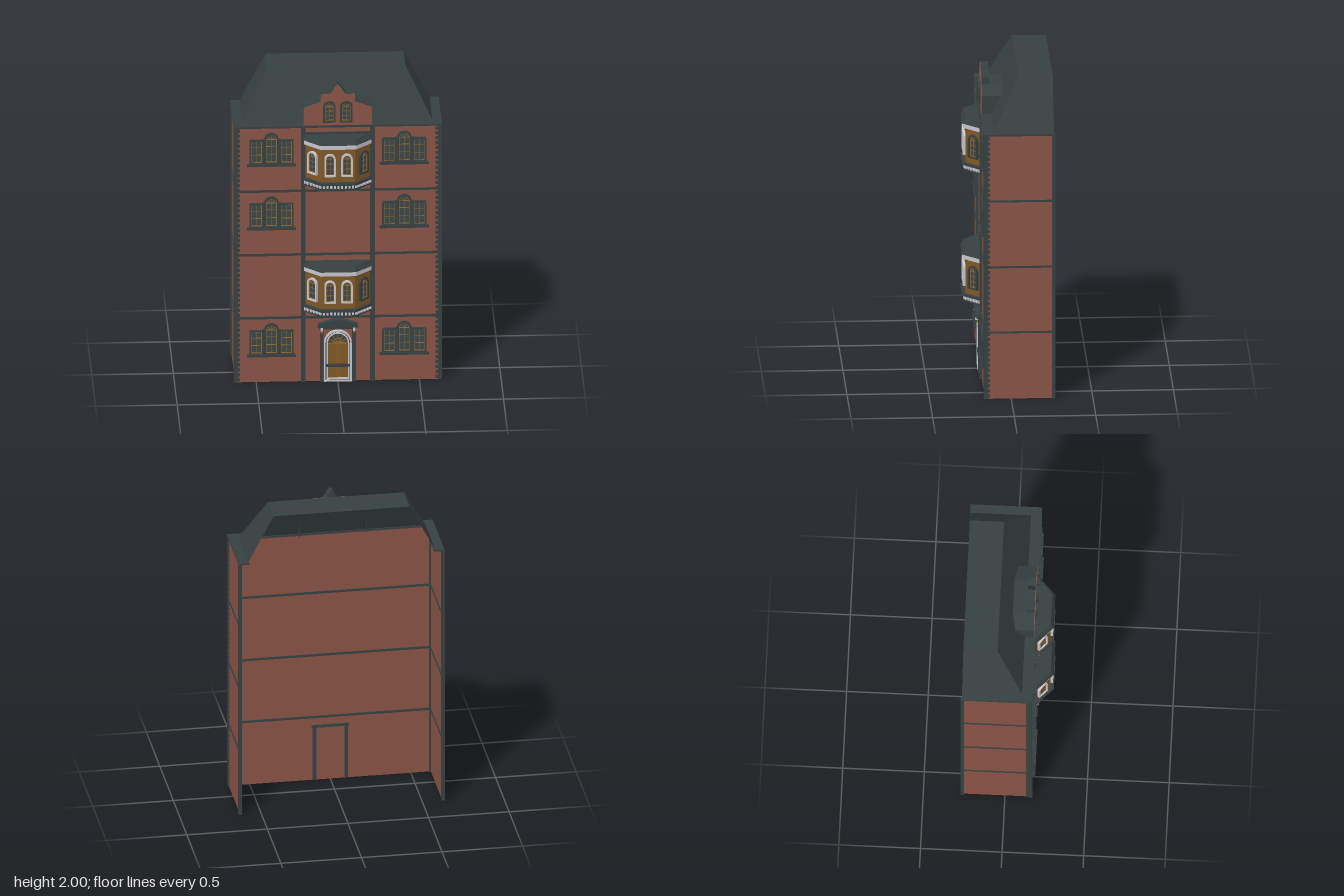
import * as THREE from 'three';

const mat = (name, color, side = THREE.FrontSide) => {
  const m = new THREE.MeshStandardMaterial({ color, side });
  m.name = name;
  return m;
};

export function createModel() {
  const brick = mat('brick', 0x8a5346);
  const slate = mat('slate', 0x374041);
  const roofSlate = mat('roof slate', 0x374041, THREE.DoubleSide);
  const wood = mat('wood', 0x7f5826);
  const gold = mat('gilt wood', 0x94652a);
  const stone = mat('pale stone', 0xc6c6cb);
  const glass = mat('glass', 0x3a474b);
  const root = new THREE.Group();
  root.name = 'townhouse';

  const FRONT = 0.16, BACK = -0.265, W = 0.63, H = 1.69;

  const add = (parent, name, geo, material) => {
    const m = new THREE.Mesh(geo, material);
    m.name = name;
    parent.add(m);
    return m;
  };
  const group = (parent, name, x = 0, y = 0, z = 0, ry = 0) => {
    const g = new THREE.Group();
    g.name = name;
    g.position.set(x, y, z);
    g.rotation.y = ry;
    parent.add(g);
    return g;
  };
  // box given by its limits
  const box = (parent, name, material, x0, x1, y0, y1, z0, z1) => {
    const m = add(parent, name, new THREE.BoxGeometry(x1 - x0, y1 - y0, z1 - z0), material);
    m.position.set((x0 + x1) / 2, (y0 + y1) / 2, (z0 + z1) / 2);
    return m;
  };
  const extrude = (shape, depth) =>
    new THREE.ExtrudeGeometry(shape, { depth, bevelEnabled: false, curveSegments: 10 });
  const polygon = (pts) => new THREE.Shape(pts.map(([x, y]) => new THREE.Vector2(x, y)));

  // opening outline: rectangle, or rectangle with a round head
  const opening = (w, h, round, inset = 0, Type = THREE.Shape) => {
    const r = w / 2 - inset, s = new Type();
    s.moveTo(-r, inset);
    s.lineTo(r, inset);
    if (round) {
      s.lineTo(r, h - w / 2);
      s.absarc(0, h - w / 2, r, 0, Math.PI, false);
    } else {
      s.lineTo(r, h - inset);
      s.lineTo(-r, h - inset);
    }
    s.closePath();
    return s;
  };
  const frame = (w, h, round, from, to, depth) => {
    const s = opening(w, h, round, from);
    s.holes.push(opening(w, h, round, to, THREE.Path));
    return extrude(s, depth);
  };

  // window with frame, gilt sash, glazing bars and fan spokes
  const makeWindow = (parent, name, x, y, z, w, h, round, frameMat, t, ry = 0) => {
    const g = group(parent, name, x, y, z, ry);
    add(g, 'windowFrame', frame(w, h, round, 0, t, 0.016), frameMat);
    add(g, 'sash', frame(w, h, round, t, t + 0.004, 0.008), gold);
    add(g, 'pane', extrude(opening(w, h, round, t), 0.004), glass);
    const top = round ? h - w / 2 : h - t, r = w / 2 - t;
    box(g, 'mullion', gold, -0.0015, 0.0015, t, top, 0.003, 0.007);
    for (const f of [0.36, 0.7]) {
      const by = t + (top - t) * f;
      box(g, 'glazingBar', gold, -r, r, by - 0.0015, by + 0.0015, 0.003, 0.007);
    }
    if (round) {
      box(g, 'transom', gold, -r, r, top - 0.002, top + 0.002, 0.003, 0.007);
      for (const a of [-0.8, 0, 0.8]) {
        const spoke = box(g, 'fanSpoke', gold, -0.0015, 0.0015, 0, r, 0.003, 0.007);
        spoke.position.set(-Math.sin(a) * r / 2, top + Math.cos(a) * r / 2, 0.005);
        spoke.rotation.z = a;
      }
    }
    return g;
  };

  // shell walls, open at the back
  const walls = group(root, 'walls');
  box(walls, 'frontWall', brick, -W, W, 0, H, FRONT - 0.006, FRONT);
  for (const s of [-1, 1]) {
    const side = box(walls, 'sideWall', brick, -0.003, 0.003, 0, H, BACK, FRONT);
    side.position.x = s * (W - 0.003);
  }

  // floor bands, inside and out
  const trim = group(root, 'trim');
  for (const y of [0.425, 0.843, 1.265]) {
    box(trim, 'frontBand', slate, -W - 0.003, W + 0.003, y - 0.007, y + 0.007, FRONT - 0.012, FRONT + 0.007);
    for (const s of [-1, 1]) {
      const b = box(trim, 'sideBand', slate, -0.008, 0.008, y - 0.006, y + 0.006, BACK, FRONT);
      b.position.x = s * (W - 0.003);
    }
  }
  // eaves ledge
  box(trim, 'frontLedge', slate, -0.638, 0.638, 1.683, 1.695, 0.095, 0.168);
  for (const s of [-1, 1]) {
    const ledge = box(trim, 'sideLedge', slate, -0.032, 0.032, 1.683, 1.695, BACK, 0.1);
    ledge.position.x = s * 0.606;
    // corner strips with toothed quoins
    const corner = box(trim, 'cornerStrip', slate, -0.0125, 0.0125, 0, H, 0.142, 0.168);
    corner.position.x = s * 0.6255;
    const rear = box(trim, 'rearStrip', slate, -0.011, 0.011, 0, H, -0.272, -0.25);
    rear.position.x = s * 0.629;
    for (let y = 0.008; y < H - 0.02; y += 0.033) {
      const q = box(trim, 'frontQuoin', slate, -0.01, 0.01, y, y + 0.02, FRONT - 0.002, 0.167);
      q.position.x = s * 0.608;
      const p = box(trim, 'sideQuoin', slate, -0.003, 0.003, y, y + 0.02, 0.13, 0.145);
      p.position.x = s * 0.633;
    }
    const pilaster = box(trim, 'pilaster', slate, -0.014, 0.014, 0, H, FRONT - 0.002, 0.174);
    pilaster.position.x = s * 0.212;
  }
  box(trim, 'upperBar', slate, -0.2, 0.2, 1.636, 1.652, FRONT - 0.002, 0.17);

  // three-part windows
  for (const s of [-1, 1]) {
    for (const y of [0.18, 1.022, 1.443]) {
      const g = group(root, 'tripleWindow', s * 0.407, y, FRONT);
      box(g, 'sill', slate, -0.15, 0.15, -0.008, 0.006, 0, 0.022);
      box(g, 'windowBacking', slate, -0.135, 0.135, 0.005, 0.155, -0.001, 0.003);
      makeWindow(g, 'centreWindow', 0, 0.004, 0, 0.088, 0.206, true, slate, 0.011);
      for (const k of [-1, 1]) {
        makeWindow(g, 'sideWindow', k * 0.092, 0.004, 0, 0.084, 0.162, false, slate, 0.009);
        box(g, 'hoodEnd', slate, k * 0.048 - 0.009, k * 0.048 + 0.009, 0.15, 0.17, 0, 0.014);
      }
    }
  }

  // canted bays
  const bayPrism = (back, front, z, y0, y1) => {
    const geo = extrude(polygon([[-back, -FRONT], [-front, -z], [front, -z], [back, -FRONT]]), y1 - y0);
    geo.rotateX(-Math.PI / 2);
    geo.translate(0, y0, 0);
    return geo;
  };
  for (const y of [0.465, 1.305]) {
    const bay = group(root, 'bayWindow', 0, y, 0);
    add(bay, 'bayFloor', bayPrism(0.215, 0.1, 0.265, 0, 0.01), slate);
    add(bay, 'dentilBacking', bayPrism(0.2, 0.095, 0.255, 0.01, 0.034), slate);
    add(bay, 'baySlab', bayPrism(0.225, 0.107, 0.275, 0.034, 0.05), slate);
    add(bay, 'bayWall', bayPrism(0.2, 0.1, 0.254, 0.05, 0.275), wood);
    add(bay, 'bayCornice', bayPrism(0.222, 0.106, 0.271, 0.272, 0.3), stone);
    // hipped bay roof, top edge drawn in
    const roof = bayPrism(0.228, 0.109, 0.275, 0.3, 0.335);
    const p = roof.attributes.position;
    for (let i = 0; i < p.count; i++) {
      if (p.getY(i) > 0.32) {
        p.setX(i, p.getX(i) * 0.91);
        p.setZ(i, FRONT + (p.getZ(i) - FRONT) * 0.84);
      }
    }
    roof.computeVertexNormals();
    add(bay, 'bayRoof', roof, slate);
    // dentils along the three sides
    const path = [[-0.21, 0.165], [-0.1, 0.262], [0.1, 0.262], [0.21, 0.165]];
    for (let e = 0; e < 3; e++) {
      const [ax, az] = path[e], [bx, bz] = path[e + 1], n = e === 1 ? 9 : 6;
      for (let i = 0; i < n; i++) {
        const t = (i + 0.5) / n;
        const d = box(bay, 'dentil', stone, -0.006, 0.006, 0.011, 0.033, -0.007, 0.007);
        d.position.x = ax + (bx - ax) * t;
        d.position.z = az + (bz - az) * t - 0.003;
        d.rotation.y = -Math.atan2(bz - az, bx - ax);
      }
    }
    for (const s of [-1, 1]) {
      makeWindow(bay, 'bayFrontWindow', s * 0.052, 0.09, 0.253, 0.07, 0.15, true, stone, 0.011);
      makeWindow(bay, 'bayCantedWindow', s * 0.152, 0.09, 0.2045, 0.075, 0.15, true,
        s < 0 ? stone : slate, 0.011, s * 0.76);
    }
  }

  // entrance
  const door = group(root, 'entrance', 0, 0, FRONT);
  add(door, 'doorLeaf', extrude(opening(0.13, 0.315, true), 0.005), wood);
  add(door, 'doorArch', frame(0.17, 0.34, true, 0, 0.01, 0.016), stone);
  add(door, 'doorArchGroove', frame(0.17, 0.34, true, 0.01, 0.015, 0.008), slate);
  add(door, 'doorArchInner', frame(0.17, 0.34, true, 0.015, 0.024, 0.013), stone);
  const fan = new THREE.Shape();
  fan.absarc(0, 0.255, 0.058, 0, Math.PI, false);
  add(door, 'fanlight', extrude(fan, 0.006), glass);
  for (const a of [-1.2, -0.6, 0, 0.6, 1.2]) {
    const spoke = box(door, 'fanlightSpoke', gold, -0.002, 0.002, 0, 0.058, 0.005, 0.01);
    spoke.position.set(-Math.sin(a) * 0.029, 0.255 + Math.cos(a) * 0.029, 0.0075);
    spoke.rotation.z = a;
  }
  add(door, 'fanlightHub', new THREE.TorusGeometry(0.028, 0.003, 4, 10, Math.PI), gold).position.set(0, 0.255, 0.007);
  box(door, 'doorTransom', gold, -0.06, 0.06, 0.248, 0.257, 0.004, 0.011);
  box(door, 'doorSplit', gold, -0.002, 0.002, 0, 0.25, 0.004, 0.008);
  box(door, 'doorBar', slate, -0.072, 0.072, 0.097, 0.115, 0.004, 0.016);
  for (const s of [-1, 1]) {
    const post = box(door, 'doorPilaster', slate, -0.011, 0.011, 0, 0.355, -0.012, 0.016);
    post.position.x = s * 0.099;
    const bracket = box(door, 'bracket', stone, -0.008, 0.008, 0.342, 0.364, 0.01, 0.034);
    bracket.position.x = s * 0.1;
    box(door, 'bracketTip', gold, s * 0.1 - 0.005, s * 0.1 + 0.005, 0.325, 0.343, 0.012, 0.026);
  }
  box(door, 'lintel', slate, -0.115, 0.115, 0.352, 0.37, -0.012, 0.028);
  add(door, 'pediment', extrude(polygon([[-0.125, 0.365], [0.125, 0.365], [0.12, 0.385], [0.03, 0.415],
    [-0.03, 0.415], [-0.12, 0.385]]), 0.036), slate);
  add(door, 'pedimentPanel', extrude(polygon([[-0.09, 0.376], [0.09, 0.376], [0.025, 0.402],
    [-0.025, 0.402]]), 0.038), slate);

  // open surface of quads between two lines of points
  const strip = (a, b) => {
    const v = [];
    for (let i = 0; i < a.length - 1; i++) {
      v.push(...a[i], ...a[i + 1], ...b[i + 1], ...a[i], ...b[i + 1], ...b[i]);
    }
    const geo = new THREE.BufferGeometry();
    geo.setAttribute('position', new THREE.Float32BufferAttribute(v, 3));
    geo.computeVertexNormals();
    return geo;
  };
  // mansard roof, open at the back
  const ring = (x, y, z) => [[-x, y, BACK], [-x, y, z], [x, y, z], [x, y, BACK]];
  const top = ring(0.422, 2, -0.055);
  const roof = group(root, 'roof');
  add(roof, 'roofSlopes', strip(ring(0.585, 1.69, 0.105), top), roofSlate);
  add(roof, 'roofTop', strip([top[1], top[2]], [top[0], top[3]]), roofSlate);

  // stepped gable with its dormer
  const gable = group(root, 'gable');
  const dormer = [[0.21, 1.69, 0.045], [0.21, 1.81, 0.04], [0.105, 1.85, 0.024],
    [-0.105, 1.85, 0.024], [-0.21, 1.81, 0.04], [-0.21, 1.69, 0.045]];
  add(gable, 'dormerShell', strip(dormer.map(([x, y]) => [x, y, 0.15]), dormer), roofSlate);
  const half = [[0.21, 1.69], [0.21, 1.81], [0.105, 1.85], [0.105, 1.9], [0.048, 1.9], [0.03, 1.925], [0.02, 1.945]];
  const outline = [...half, [0, 1.968], ...half.map(([x, y]) => [-x, y]).reverse()];
  add(gable, 'gableBody', extrude(polygon(outline), 0.047), slate).position.z = 0.11;
  add(gable, 'gableFace', extrude(polygon(outline), 0.004), brick).position.z = 0.157;
  for (const s of [-1, 1]) {
    makeWindow(gable, 'gableWindow', s * 0.052, 1.718, 0.16, 0.076, 0.138, true, slate, 0.011);
  }
  return root;
}
